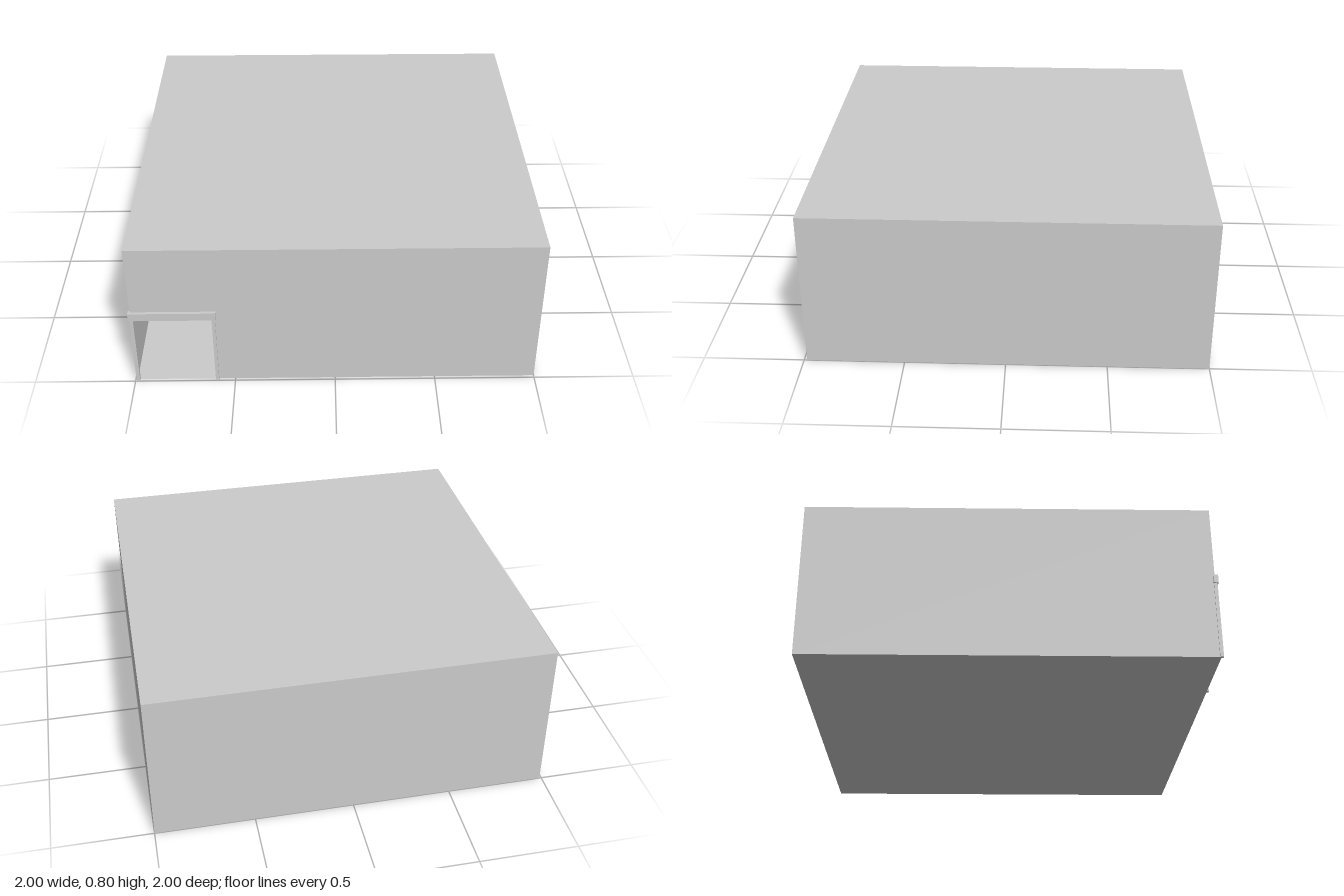
import * as THREE from 'three';

const X0 = -0.99, X1 = 1, Z0 = -1, Z1 = 0.985, H = 0.8;
const DOOR = { x0: -0.977, x1: -0.598, top: 0.39 };

export function createModel() {
  const group = new THREE.Group();
  const shell = new THREE.MeshStandardMaterial({ color: 0xcccccc, side: THREE.DoubleSide });
  const solid = new THREE.MeshStandardMaterial({ color: 0xcccccc });
  const w = X1 - X0, d = Z1 - Z0, cx = (X0 + X1) / 2, cz = (Z0 + Z1) / 2;

  // Thin outward-facing panel of the hollow shell
  const panel = (name, pw, ph, pos, rx = 0, ry = 0) => {
    const mesh = new THREE.Mesh(new THREE.PlaneGeometry(pw, ph), shell);
    mesh.name = name;
    mesh.position.set(...pos);
    mesh.rotation.set(rx, ry, 0);
    group.add(mesh);
  };
  panel('floor', w, d, [cx, 0, cz], Math.PI / 2);
  panel('roof', w, d, [cx, H, cz], -Math.PI / 2);
  panel('backWall', w, H, [cx, H / 2, Z0], 0, Math.PI);
  panel('leftWall', d, H, [X1, H / 2, cz], 0, Math.PI / 2);
  panel('rightWall', d, H, [X0, H / 2, cz], 0, -Math.PI / 2);

  // Front wall with the doorway cut up from the floor
  const outline = [
    [X0, 0], [DOOR.x0, 0], [DOOR.x0, DOOR.top], [DOOR.x1, DOOR.top],
    [DOOR.x1, 0], [X1, 0], [X1, H], [X0, H],
  ].map(([x, y]) => new THREE.Vector2(x, y));
  const front = new THREE.Mesh(new THREE.ShapeGeometry(new THREE.Shape(outline)), shell);
  front.name = 'frontWall';
  front.position.z = Z1;
  group.add(front);

  // Door surround: two jambs under a wider lintel
  const frame = new THREE.Group();
  frame.name = 'doorFrame';
  const bar = (name, x0, x1, y0, y1, z0, z1) => {
    const mesh = new THREE.Mesh(new THREE.BoxGeometry(x1 - x0, y1 - y0, z1 - z0), solid);
    mesh.name = name;
    mesh.position.set((x0 + x1) / 2, (y0 + y1) / 2, (z0 + z1) / 2);
    frame.add(mesh);
  };
  bar('rightJamb', -0.995, DOOR.x0, 0, DOOR.top, 0.978, 0.995);
  bar('leftJamb', DOOR.x1, -0.582, 0, DOOR.top, 0.978, 0.995);
  bar('lintel', -1, -0.577, DOOR.top, 0.433, 0.976, 1);
  group.add(frame);

  return group;
}
